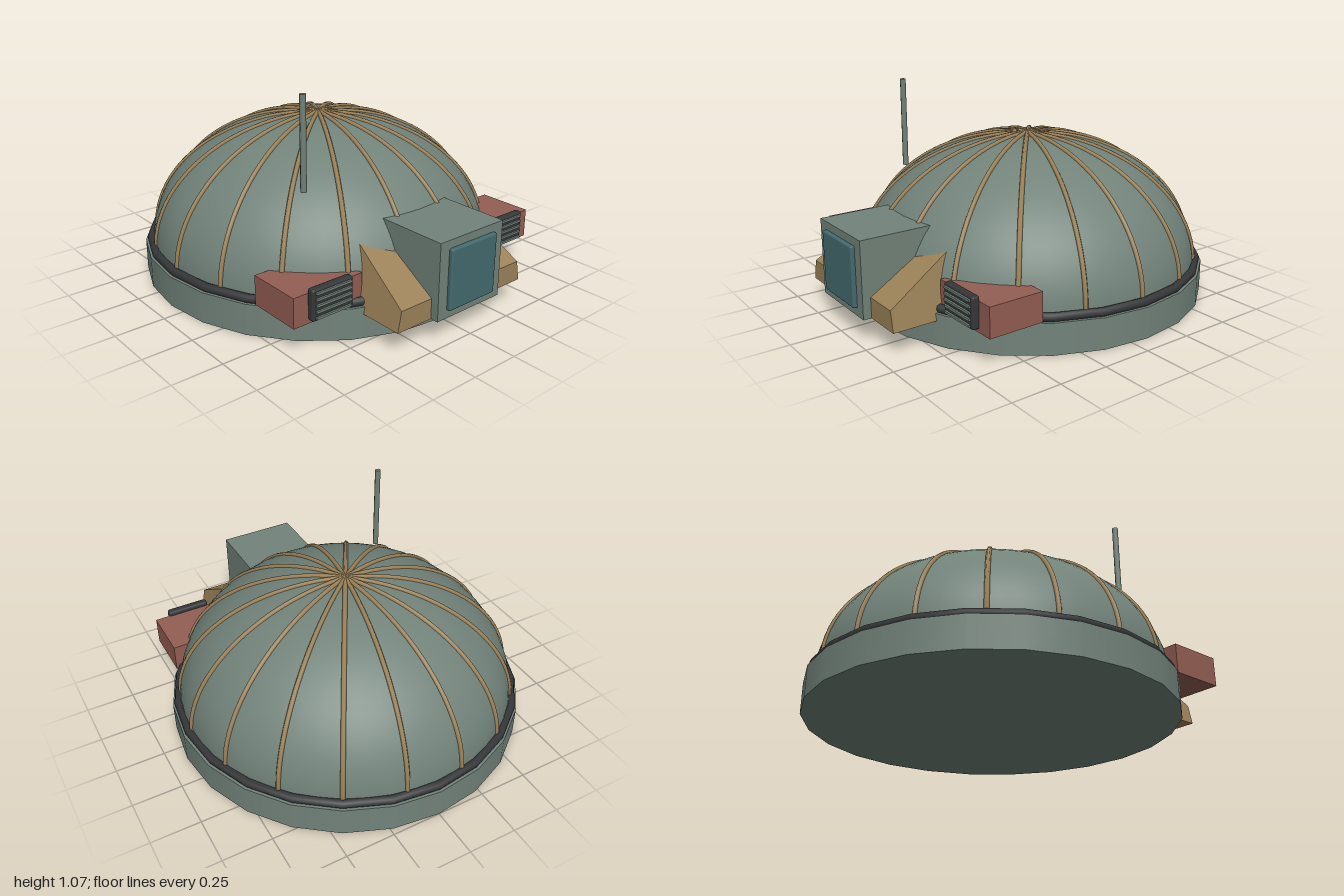
import * as THREE from 'three';
import { RoundedBoxGeometry } from 'three/addons/geometries/RoundedBoxGeometry.js';

const mat = (name, color) => {
  const m = new THREE.MeshStandardMaterial({ color });
  m.name = name;
  return m;
};

export function createModel() {
  const green = mat('sage green', 0x72837a);
  const tan = mat('tan', 0x9c8259);
  const red = mat('brick red', 0x935e53);
  const teal = mat('window teal', 0x456b70);
  const dark = mat('charcoal', 0x363739);

  const model = new THREE.Group();
  model.name = 'domeShelter';
  const add = (parent, name, geometry, material, x = 0, y = 0, z = 0) => {
    const mesh = new THREE.Mesh(geometry, material);
    mesh.name = name;
    mesh.position.set(x, y, z);
    parent.add(mesh);
    return mesh;
  };

  // Round hall: foundation, seal ring, dome and ribs share one axis
  const hall = new THREE.Group();
  hall.name = 'hall';
  hall.position.z = -0.09;
  model.add(hall);

  add(hall, 'foundation', new THREE.CylinderGeometry(0.91, 0.91, 0.155, 24), green, 0, 0.0775, 0);

  const ring = new THREE.TorusGeometry(0.88, 0.022, 8, 24);
  ring.rotateX(Math.PI / 2);
  add(hall, 'sealRing', ring, dark, 0, 0.17, 0);

  const R = 0.868, H = 0.65, baseY = 0.155;
  const dome = new THREE.SphereGeometry(1, 48, 20, 0, Math.PI * 2, 0, Math.PI / 2);
  dome.scale(R, H, R);
  add(hall, 'dome', dome, green, 0, baseY, 0);

  // Ribs run from the ring to the crown, every 20 degrees
  const ribPoints = [];
  for (let i = 0; i <= 12; i++) {
    const t = (i / 12) * Math.PI / 2;
    ribPoints.push(new THREE.Vector3(R * Math.cos(t), H * Math.sin(t), 0));
  }
  const ribGeometry = new THREE.TubeGeometry(new THREE.CatmullRomCurve3(ribPoints), 28, 0.012, 6);
  for (let i = 0; i < 18; i++) {
    add(hall, 'rib', ribGeometry, tan, 0, baseY, 0).rotation.y = (i * Math.PI) / 9;
  }

  // Antenna
  add(model, 'antenna', new THREE.CylinderGeometry(0.015, 0.015, 0.455, 8), green, -0.456, 0.8375, 0.37);

  // Entrance block with its window
  const entrance = new THREE.Group();
  entrance.name = 'entrance';
  model.add(entrance);
  add(entrance, 'entranceBlock', new THREE.BoxGeometry(0.4, 0.375, 0.5), green, 0, 0.3075, 0.73);
  add(entrance, 'window', new RoundedBoxGeometry(0.29, 0.295, 0.03, 2, 0.008), teal, 0, 0.308, 0.985);

  // Sloped buttresses, with the outer side leaning inwards
  const profile = new THREE.Shape([
    new THREE.Vector2(0.5, 0.12), new THREE.Vector2(0.94, 0.12),
    new THREE.Vector2(0.94, 0.22), new THREE.Vector2(0.5, 0.49),
  ]);
  const buttress = (side) => {
    const g = new THREE.ExtrudeGeometry(profile, { depth: 0.2, bevelEnabled: false });
    g.rotateY(-Math.PI / 2);
    g.translate(side > 0 ? 0.4 : -0.2, 0, 0);
    const p = g.attributes.position;
    for (let i = 0; i < p.count; i++) {
      if (Math.abs(p.getX(i)) > 0.3) p.setX(i, side * (0.4 - 0.19 * (p.getY(i) - 0.12)));
    }
    g.computeVertexNormals();
    return g;
  };

  // Vent housing with a slatted grille, one on each side
  for (const side of [1, -1]) {
    const label = side > 0 ? 'left' : 'right';
    add(entrance, label + 'Buttress', buttress(side), tan);

    const vent = new THREE.Group();
    vent.name = label + 'Vent';
    vent.position.x = side * 0.57;
    model.add(vent);
    add(vent, 'ventHousing', new THREE.BoxGeometry(0.38, 0.145, 0.28), red, 0, 0.2325, 0.545);
    add(vent, 'grilleFrame', new RoundedBoxGeometry(0.226, 0.152, 0.04, 2, 0.012), dark, 0, 0.252, 0.698);
    for (let i = 0; i < 5; i++) {
      add(vent, 'grilleSlat', new THREE.BoxGeometry(0.195, 0.011, 0.015), green, 0, 0.194 + i * 0.029, 0.72);
    }
  }

  return model;
}
